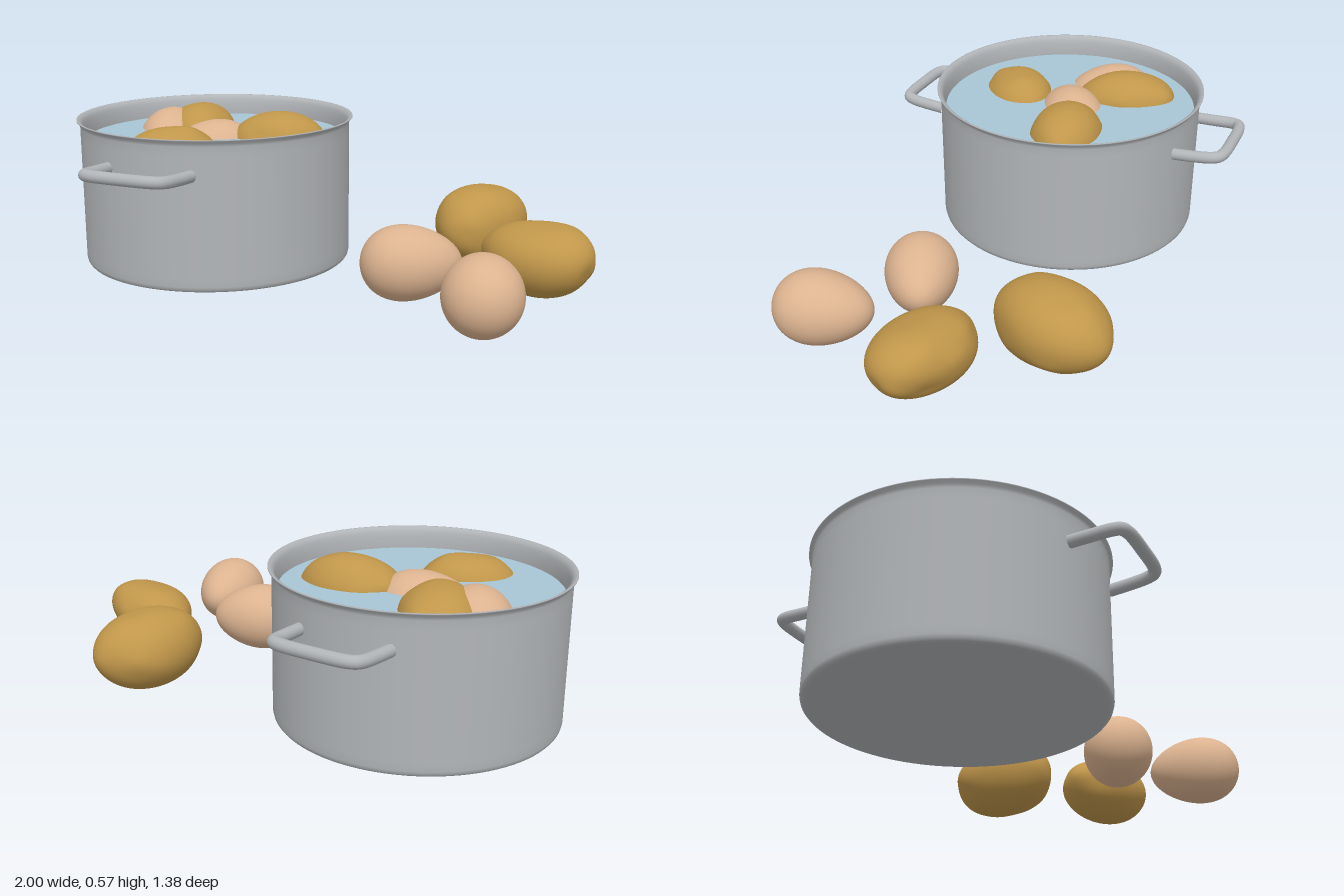
import * as THREE from 'three';
import { mergeVertices } from 'three/addons/utils/BufferGeometryUtils.js';

const mat = (name, color) => Object.assign(new THREE.MeshStandardMaterial({ color }), { name });

// Small seeded random generator
function seeded(seed) {
  let s = seed * 7919 + 17;
  return () => (s = (s * 16807) % 2147483647) / 2147483647;
}

// Smooth welded unit sphere, each vertex moved by a rule
function shapedSphere(detail, rule) {
  let g = new THREE.IcosahedronGeometry(1, detail);
  g.deleteAttribute('normal');
  g.deleteAttribute('uv');
  g = mergeVertices(g, 1e-4);
  const p = g.attributes.position;
  const v = new THREE.Vector3();
  for (let i = 0; i < p.count; i++) {
    rule(v.fromBufferAttribute(p, i));
    p.setXYZ(i, v.x, v.y, v.z);
  }
  return g;
}

// Egg lying along x with its narrow end at +x
function eggGeometry() {
  const g = shapedSphere(14, v => {
    const k = 0.132 * (1 - 0.16 * v.x);
    v.set(v.x * 0.178, v.y * k, v.z * k);
  });
  g.computeVertexNormals();
  return g;
}

// Potato: a sphere with broad dents and bumps, fitted to half sizes
function potatoGeometry(seed, [sx, sy, sz]) {
  const rnd = seeded(seed);
  const lumps = Array.from({ length: 26 }, (_, i) => {
    const y = rnd() * 2 - 1, a = rnd() * Math.PI * 2, r = Math.sqrt(1 - y * y);
    return {
      dir: new THREE.Vector3(r * Math.cos(a), y, r * Math.sin(a)),
      depth: i < 8 ? 0.07 : (rnd() - 0.6) * 0.08,
      width: i < 8 ? 0.45 : 0.07,
    };
  });
  const g = shapedSphere(14, v => {
    let r = 1;
    for (const l of lumps) r -= l.depth * Math.exp(-v.distanceToSquared(l.dir) / l.width);
    v.multiplyScalar(r);
  });
  g.center();
  const b = g.boundingBox.max;
  g.scale(sx / b.x, sy / b.y, sz / b.z);
  g.computeVertexNormals();
  return g;
}

export function createModel() {
  const model = new THREE.Group();
  const metal = mat('brushed metal', 0xb2b5b8);
  const water = mat('water', 0xa8c5d3);
  const eggshell = mat('eggshell', 0xdcb390);
  const potatoSkin = mat('potato skin', 0xc0964a);

  const add = (parent, name, geometry, material) => {
    const m = new THREE.Mesh(geometry, material);
    m.name = name;
    parent.add(m);
    return m;
  };

  const pot = new THREE.Group();
  pot.name = 'pot';
  pot.position.x = -0.472;
  model.add(pot);

  // Flat base
  const base = add(pot, 'potBase', new THREE.CircleGeometry(0.495, 96), metal);
  base.rotation.x = Math.PI / 2;
  base.position.y = 0.008;

  // Outer wall, flared lip and inner wall
  const wall = [
    [0.495, 0.008], [0.505, 0.011], [0.511, 0.018], [0.514, 0.03], [0.514, 0.06],
    [0.514, 0.5], [0.514, 0.535], [0.518, 0.547], [0.527, 0.556], [0.527, 0.56],
    [0.521, 0.56], [0.511, 0.553], [0.504, 0.54], [0.501, 0.52],
    [0.495, 0.48], [0.495, 0.05], [0.48, 0.03], [0, 0.03],
  ].map(([x, y]) => new THREE.Vector2(x, y));
  add(pot, 'potWall', new THREE.LatheGeometry(wall, 96), metal);

  // Water surface
  const surface = add(pot, 'waterSurface', new THREE.CircleGeometry(0.497, 96), water);
  surface.rotation.x = -Math.PI / 2;
  surface.position.y = 0.48;

  // Two loop handles, front and back
  const half = [[0.168, 0.432, 0.485], [0.165, 0.436, 0.56], [0.159, 0.441, 0.625],
    [0.147, 0.444, 0.652], [0.115, 0.445, 0.664]];
  const path = new THREE.CatmullRomCurve3([
    ...half, [0, 0.445, 0.668], ...half.slice().reverse().map(([x, y, z]) => [-x, y, z]),
  ].map(p => new THREE.Vector3(...p)));
  const handleGeo = new THREE.TubeGeometry(path, 72, 0.022, 16);
  for (const [name, turn] of [['frontHandle', 0], ['backHandle', Math.PI]]) {
    add(pot, name, handleGeo, metal).rotation.y = turn;
  }

  // Eggs: position and the heading of the narrow end (x, z)
  const eggGeo = eggGeometry();
  [
    ['looseEgg', [0.405, 0.134, 0.215], [0.9, -0.42]],
    ['looseEgg', [0.718, 0.134, 0.425], [-0.26, -0.96]],
    ['floatingEgg', [-0.725, 0.42, -0.085], [0.35, 0.94]],
    ['floatingEgg', [-0.49, 0.405, 0.0], [-0.85, 0.5]],
  ].forEach(([name, pos, [dx, dz]]) => {
    const egg = add(model, name, eggGeo, eggshell);
    egg.position.set(...pos);
    egg.rotation.y = Math.atan2(-dz, dx);
  });

  // Potatoes: position, heading of the long axis (x, z), half sizes
  [
    ['loosePotato', [0.498, 0.148, -0.34], [0.16, -0.98], [0.224, 0.148, 0.164]],
    ['loosePotato', [0.793, 0.132, -0.005], [0.95, 0.27], [0.208, 0.13, 0.153]],
    ['floatingPotato', [-0.645, 0.445, -0.185], [0.38, 0.92], [0.195, 0.122, 0.137]],
    ['floatingPotato', [-0.237, 0.45, -0.078], [0.97, -0.2], [0.19, 0.125, 0.137]],
    ['floatingPotato', [-0.527, 0.43, 0.247], [0.8, -0.58], [0.178, 0.118, 0.137]],
  ].forEach(([name, pos, [dx, dz], size], i) => {
    const potato = add(model, name, potatoGeometry(i + 3, size), potatoSkin);
    potato.position.set(...pos);
    potato.rotation.y = Math.atan2(-dz, dx);
  });

  return model;
}
